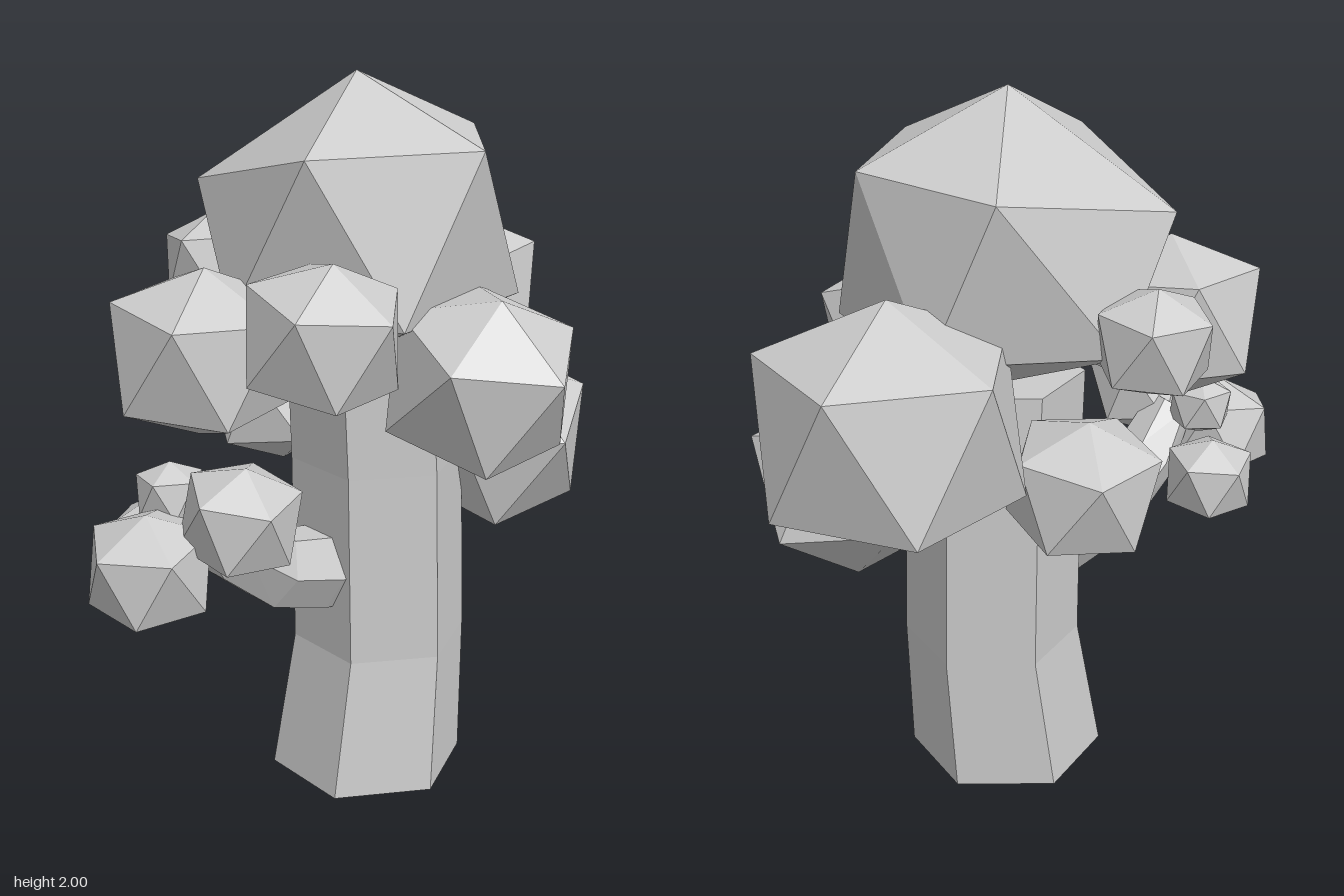
import * as THREE from 'three';
import { ConvexGeometry } from 'three/addons/geometries/ConvexGeometry.js';

const material = new THREE.MeshStandardMaterial({ color: 0xcccccc, flatShading: true });

function addMesh(group, name, geometry) {
  const mesh = new THREE.Mesh(geometry, material);
  mesh.name = name;
  group.add(mesh);
  return mesh;
}

// Six-sided limb through sections [x, y, z, radius, lean about z]
function limb(sections) {
  const n = sections.length - 1;
  const geometry = new THREE.CylinderGeometry(1, 1, n, 6, n);
  const pos = geometry.attributes.position;
  const up = new THREE.Vector3(0, 0, 1);
  const v = new THREE.Vector3();
  for (let i = 0; i < pos.count; i++) {
    const [x, y, z, r, lean] = sections[Math.round(pos.getY(i) + n / 2)];
    v.set(pos.getX(i) * r, 0, pos.getZ(i) * r).applyAxisAngle(up, lean);
    pos.setXYZ(i, v.x + x, v.y + y, v.z + z);
  }
  geometry.computeVertexNormals();
  return geometry;
}

// Twenty-sided leaf clump with slightly flattened poles.
// Each nudge [corner, x, y, z] moves one corner: 0 top, 1 bottom, 2 to 11 around.
function clumpGeometry(radius, turn, nudges) {
  const points = [new THREE.Vector3(0, 0.97 * radius, 0), new THREE.Vector3(0, -0.97 * radius, 0)];
  for (let i = 0; i < 10; i++) {
    const a = THREE.MathUtils.degToRad(turn + i * 36);
    const y = (i % 2 ? -0.54 : 0.54) * radius;
    points.push(new THREE.Vector3(Math.cos(a) * radius, y, Math.sin(a) * radius));
  }
  for (const [corner, x, y, z] of nudges) points[corner].add(new THREE.Vector3(x, y, z));
  return new ConvexGeometry(points);
}

export function createModel() {
  const tree = new THREE.Group();
  tree.name = 'tree';

  addMesh(tree, 'trunk', limb([
    [0.06, 0, 0.04, 0.28, 0],
    [0.105, 0.4, 0.042, 0.25, 0],
    [0.095, 0.95, 0.04, 0.245, 0],
    [0.08, 1.2, 0.04, 0.24, 0],
  ]));

  addMesh(tree, 'branch', limb([
    [0.05, 0.645, 0.03, 0.12, 1.5],
    [-0.12, 0.655, 0.03, 0.12, 1.4],
    [-0.285, 0.7, 0.04, 0.11, 1.15],
    [-0.45, 0.82, 0.07, 0.095, 0.85],
    [-0.55, 0.95, 0.1, 0.07, 0.6],
  ]));

  // Leaf clumps: name, centre, radius, turn in degrees, tilt about x and z, nudges
  const crownNudges = [[3, 0.06, 0, 0], [8, 0, -0.12, -0.04], [10, 0.07, -0.02, 0.03]];
  const clumps = [
    ['crownLeaves', [0.1, 1.605, -0.06], 0.41, 5, 0, 0, crownNudges],
    ['leftLeaves', [0.55, 1.25, -0.26], 0.335, -38, 0, 0, [[1, 0, 0.12, 0]]],
    ['frontLeaves', [0.165, 1.23, 0.37], 0.255, 85, 0.35, 0.05, []],
    ['lowerLeftLeaves', [0.5, 0.94, 0.105], 0.26, 90, 0.35, 0.12, []],
    ['rightLeaves', [-0.41, 1.31, -0.09], 0.24, 0, 0.1, 0, []],
    ['frontRightLeaves', [-0.3, 1.41, 0.28], 0.205, 80, 0.2, 0, []],
    ['upperBackLeaves', [-0.06, 1.43, -0.5], 0.147, 20, -0.1, 0, []],
    ['lowerBackLeaves', [0.065, 1.02, -0.38], 0.195, -70, -0.15, 0, []],
    ['branchOuterLeaves', [-0.715, 0.84, 0.09], 0.16, 30, 0.1, 0.1, []],
    ['branchFrontLeaves', [-0.53, 0.97, 0.23], 0.15, 100, 0.2, 0, []],
    ['branchBackLeaves', [-0.525, 0.805, -0.135], 0.125, 50, -0.1, 0, []],
    ['branchTipLeaves', [-0.575, 0.98, -0.01], 0.09, 10, 0, 0, []],
  ];
  for (const [name, centre, radius, turn, tiltX, tiltZ, nudges] of clumps) {
    const clump = addMesh(tree, name, clumpGeometry(radius, turn, nudges));
    clump.position.set(...centre);
    clump.rotation.set(tiltX, 0, tiltZ);
  }
  return tree;
}
